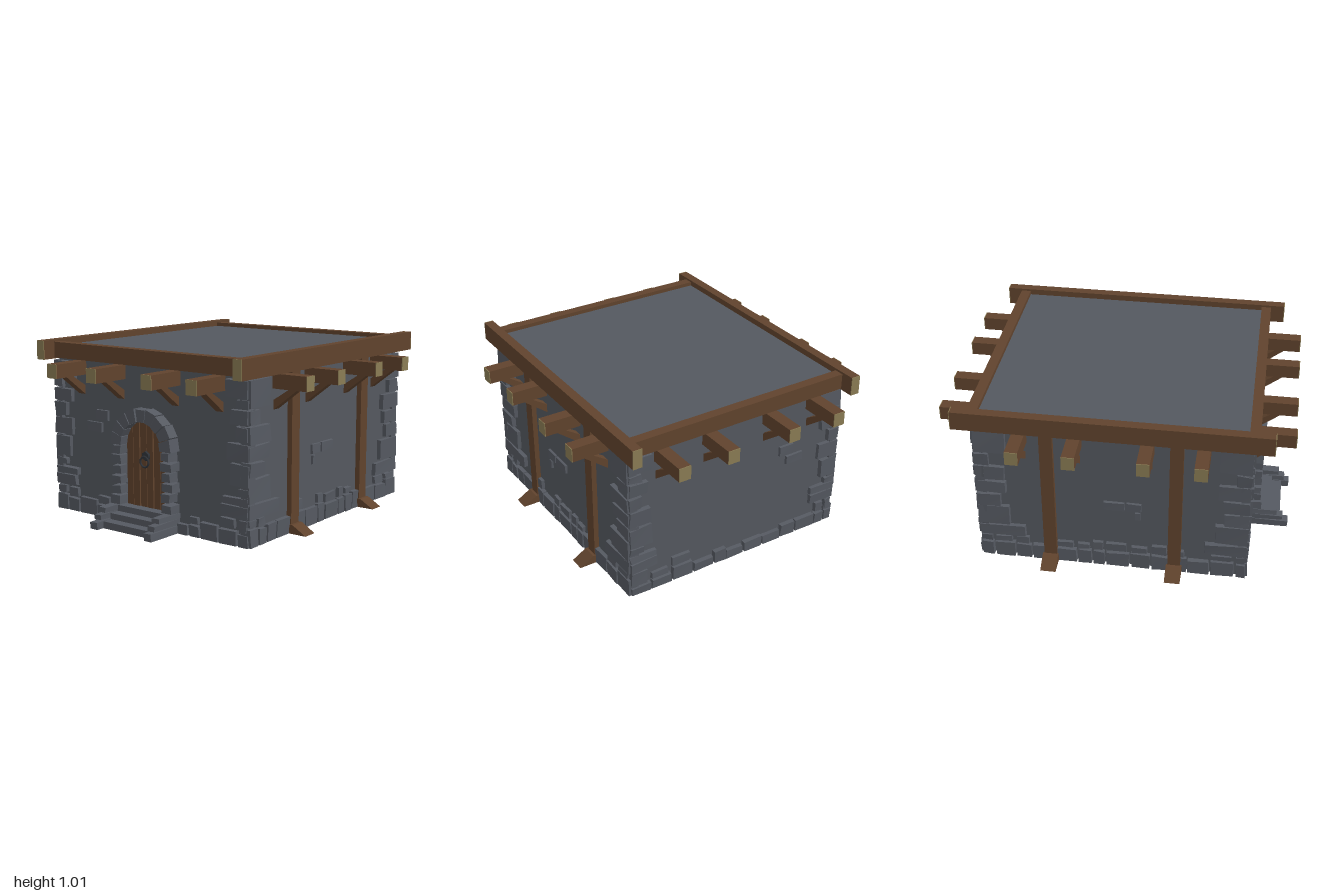
import * as THREE from 'three';

const mat = (name, color, side = THREE.FrontSide) => {
  const m = new THREE.MeshStandardMaterial({ color, side });
  m.name = name;
  return m;
};

export function createModel() {
  const stoneMat = mat('stone', 0x555961);
  const wallMat = mat('wall stone', 0x54585f, THREE.DoubleSide);
  const wood = mat('wood', 0x60432d);
  const endGrain = mat('end grain', 0x8a7c54);
  const iron = mat('iron', 0x30343a);
  const gap = mat('door gap', 0x2a1c12);

  const model = new THREE.Group();
  model.name = 'stoneHut';
  const HX = 0.69, HZ = 0.755, H = 0.9;

  let seed = 7;
  const rand = () => (seed = (seed * 16807) % 2147483647) / 2147483647;
  const jit = (a) => (rand() - 0.5) * 2 * a;

  const add = (parent, name, geo, material, x = 0, y = 0, z = 0) => {
    const m = new THREE.Mesh(geo, material);
    m.name = name;
    m.position.set(x, y, z);
    parent.add(m);
    return m;
  };
  // Box given by its limits
  const box = (parent, name, material, x0, x1, y0, y1, z0, z1) =>
    add(parent, name, new THREE.BoxGeometry(x1 - x0, y1 - y0, z1 - z0), material,
      (x0 + x1) / 2, (y0 + y1) / 2, (z0 + z1) / 2);

  // Rough hewn block: a box whose eight corners are nudged; the front face is slightly inset
  const stone = (parent, name, x0, x1, y0, y1, z0, z1, rough = 0.005) => {
    const [a, b] = [Math.min(x0, x1), Math.max(x0, x1)];
    const m = box(parent, name, stoneMat, a, b, y0, y1, z0, z1);
    const p = m.geometry.attributes.position;
    const nudge = Array.from({ length: 8 }, () => [jit(rough), jit(rough), jit(rough)]);
    for (let i = 0; i < p.count; i++) {
      const [x, y, z] = [p.getX(i), p.getY(i), p.getZ(i)];
      const n = nudge[(x > 0 ? 1 : 0) + (y > 0 ? 2 : 0) + (z > 0 ? 4 : 0)];
      const k = z > 0 ? 0.004 : 0;
      p.setXYZ(i, x + n[0] - Math.sign(x) * k,
        y0 < 0.005 && y < 0 ? y : y + n[1] - Math.sign(y) * k, z + n[2]);
    }
    m.geometry.computeVertexNormals();
    return m;
  };

  // Profile in (outward, up) extruded along the wall
  const profile = (pts, w) => {
    const s = new THREE.Shape(pts.map((q) => new THREE.Vector2(...q)));
    return new THREE.ExtrudeGeometry(s, { depth: w, bevelEnabled: false })
      .translate(0, 0, -w / 2).rotateY(-Math.PI / 2);
  };
  const strutGeo = profile([[-0.02, 0.69], [0.155, 0.825], [0.105, 0.825], [-0.02, 0.745]], 0.05);
  const footGeo = profile([[0, 0], [0.13, 0], [0.045, 0.05], [0, 0.05]], 0.09);

  // Corner stones: bottom, top, length along the wall
  const quoinsFront = [[0.79, 0.89, 0.15], [0.735, 0.785, 0.07], [0.65, 0.73, 0.135], [0.565, 0.645, 0.09],
    [0.455, 0.555, 0.15], [0.32, 0.445, 0.13], [0.27, 0.315, 0.08], [0.22, 0.265, 0.18], [0.15, 0.22, 0.17]];
  const quoinsSide = [[0.735, 0.89, 0.19], [0.65, 0.73, 0.1], [0.55, 0.645, 0.18], [0.46, 0.545, 0.17],
    [0.37, 0.455, 0.14], [0.235, 0.365, 0.19], [0.15, 0.23, 0.26]];

  // Each wall is built facing +z in its own group, then turned into place
  const walls = [
    { name: 'frontWall', turn: 0, half: HX, dist: HZ, reach: 0.993, at: [0.2, 0.505] },
    { name: 'backWall', turn: Math.PI, half: HX, dist: HZ, reach: 0.998, at: [0.2, 0.505] },
    { name: 'rightSideWall', turn: Math.PI / 2, half: HZ, dist: HX, reach: 0.908, at: [0.2, 0.505] },
    { name: 'leftSideWall', turn: -Math.PI / 2, half: HZ, dist: HX, reach: 0.908, at: [0.2, 0.505] },
  ];
  for (const { name, turn, half, dist, reach, at } of walls) {
    const g = new THREE.Group();
    g.name = name;
    g.rotation.y = turn;
    model.add(g);
    const isSide = half === HZ, front = name === 'frontWall';
    const z0 = dist - 0.035, z1 = dist + 0.025;
    add(g, 'wall', new THREE.PlaneGeometry(half * 2, H), wallMat, 0, H / 2, dist);

    for (const s of [-1, 1]) {
      // Roof joists with pale cut ends and diagonal struts
      for (const a of at) {
        box(g, 'joist', wood, s * a - 0.036, s * a + 0.036, 0.82, 0.9, dist - 0.03, reach - 0.004);
        box(g, 'joistEnd', endGrain, s * a - 0.036, s * a + 0.036, 0.82, 0.9, reach - 0.004, reach);
        add(g, 'strut', strutGeo, wood, s * a, 0, dist);
      }
      // Corner stones
      for (const [y0, y1, len] of isSide ? quoinsSide : quoinsFront)
        stone(g, 'cornerStone', s * (half + 0.02), s * (half + 0.02 - len + jit(0.015)), y0, y1, z0, z1);
      // Posts with wedge feet
      if (isSide) {
        box(g, 'post', wood, s * 0.36 - 0.037, s * 0.36 + 0.037, 0, H, dist - 0.03, dist + 0.03);
        add(g, 'postFoot', footGeo, wood, s * 0.36, 0, dist);
      }
    }

    // Base course: a low row, with scattered stones above it
    let x = -half - 0.018;
    while (x < half) {
      let w = 0.07 + rand() * 0.08;
      if (x + w > half - 0.04) w = half + 0.018 - x;
      const mid = x + w / 2, h = isSide ? 0.09 + rand() * 0.015 : 0.05 + rand() * 0.05;
      if (!(front && Math.abs(mid) < 0.24)) {
        stone(g, 'baseStone', x + 0.002, x + w - 0.002, 0, h, z0, z1, 0.004);
        const corner = Math.abs(mid) > half - 0.17;
        if (corner || rand() < (isSide ? 0.65 : 0.45))
          stone(g, 'baseStone', x + 0.004, x + w * 0.85, h + 0.003, corner ? 0.145 : h + 0.04 + rand() * 0.03,
            z0, z1 - 0.005, 0.004);
      }
      x += w;
    }

    // Loose stones showing through the middle of the wall
    const m = name === 'rightSideWall' || front ? 1 : -1;
    const patch = isSide
      ? [[-0.17, -0.08, 0.4, 0.46], [-0.075, 0.05, 0.4, 0.46], [-0.165, -0.13, 0.34, 0.397]]
      : [[-0.39, -0.29, 0.565, 0.63], [-0.46, -0.34, 0.495, 0.555]];
    for (const [a, b, y0, y1] of patch)
      stone(g, 'wallStone', m * a, m * b, y0, y1, dist - 0.02, dist + 0.014, 0.002);
  }

  // Flat roof and its frame of beams
  const roof = new THREE.Group();
  roof.name = 'roof';
  model.add(roof);
  box(roof, 'roofSlab', wallMat, -HX, HX, 0.9, 0.975, -0.755, 0.755);
  for (const s of [-1, 1]) {
    add(roof, 'endBeam', new THREE.BoxGeometry(1.38, 0.092, 0.058), wood, 0, 0.952, s * 0.767);
    add(roof, 'sideBeam', new THREE.BoxGeometry(0.056, 0.11, 1.752), wood, s * 0.713, 0.955, 0);
    for (const e of [-1, 1])
      add(roof, 'sideBeamEnd', new THREE.BoxGeometry(0.056, 0.11, 0.004), endGrain, s * 0.713, 0.955, e * 0.878);
  }

  // Arched plank door
  const door = new THREE.Group();
  door.name = 'door';
  model.add(door);
  const R = 0.15, CY = 0.455, Y0 = 0.11;
  const archStrip = (a, b, r) => {
    const pts = [[a, Y0], [b, Y0]];
    for (let i = 0; i <= 8; i++) {
      const px = b + (a - b) * i / 8;
      pts.push([px, CY + Math.sqrt(Math.max(0, r * r - px * px))]);
    }
    return new THREE.Shape(pts.map((q) => new THREE.Vector2(...q)));
  };
  add(door, 'doorBacking', new THREE.ExtrudeGeometry(archStrip(-R, R, R), { depth: 0.006, bevelEnabled: false }),
    gap, 0, 0, HZ);
  const planks = 6, pw = 2 * R / planks;
  for (let i = 0; i < planks; i++) {
    const a = -R + i * pw;
    add(door, 'doorPlank', new THREE.ExtrudeGeometry(archStrip(a + 0.003, a + pw - 0.003, R),
      { depth: 0.012 + (i % 2) * 0.003, bevelEnabled: false }), wood, 0, 0, HZ + 0.002);
  }
  add(door, 'knockerPlate', new THREE.CylinderGeometry(0.026, 0.03, 0.016, 6).rotateX(Math.PI / 2), iron, 0, 0.405, 0.777);
  add(door, 'knockerRing', new THREE.TorusGeometry(0.03, 0.006, 6, 16), iron, 0, 0.373, 0.789);

  // Stone surround: jambs and a ring of wedge stones
  const surround = new THREE.Group();
  surround.name = 'doorSurround';
  model.add(surround);
  for (const s of [-1, 1])
    for (let i = 0; i < 6; i++)
      stone(surround, 'jambStone', s * 0.146, s * (i % 2 ? 0.212 : 0.226), Y0 + i * 0.058 + 0.002,
        Y0 + (i + 1) * 0.058 - 0.002, 0.72, 0.825 + jit(0.006), 0.004);
  const count = 9;
  for (let i = 0; i < count; i++) {
    const a0 = Math.PI * i / count + 0.012, a1 = Math.PI * (i + 1) / count - 0.012;
    const ro = 0.222 + jit(0.006);
    const s = new THREE.Shape([[0.147, a0], [ro, a0], [ro, a1], [0.147, a1]]
      .map(([r, a]) => new THREE.Vector2(Math.cos(a) * r, Math.sin(a) * r)));
    add(surround, 'archStone', new THREE.ExtrudeGeometry(s, { depth: 0.105 + jit(0.006), bevelEnabled: false }),
      stoneMat, 0, CY, 0.72);
  }

  // Steps flanked by stacked cheek stones
  const steps = new THREE.Group();
  steps.name = 'steps';
  model.add(steps);
  [[0, 0.04, 0.95], [0.04, 0.075, 0.89], [0.075, 0.11, 0.83]].forEach(([y0, y1, z]) =>
    box(steps, 'step', stoneMat, -0.172, 0.172, y0, y1, 0.74, z));
  for (const s of [-1, 1])
    [[0, 0.045, 0.997], [0.045, 0.08, 0.965], [0.08, 0.115, 0.93]].forEach(([y0, y1, z]) =>
      stone(steps, 'stepCheek', s * 0.168, s * 0.228, y0, y1, 0.74, z, 0.003));

  return model;
}
